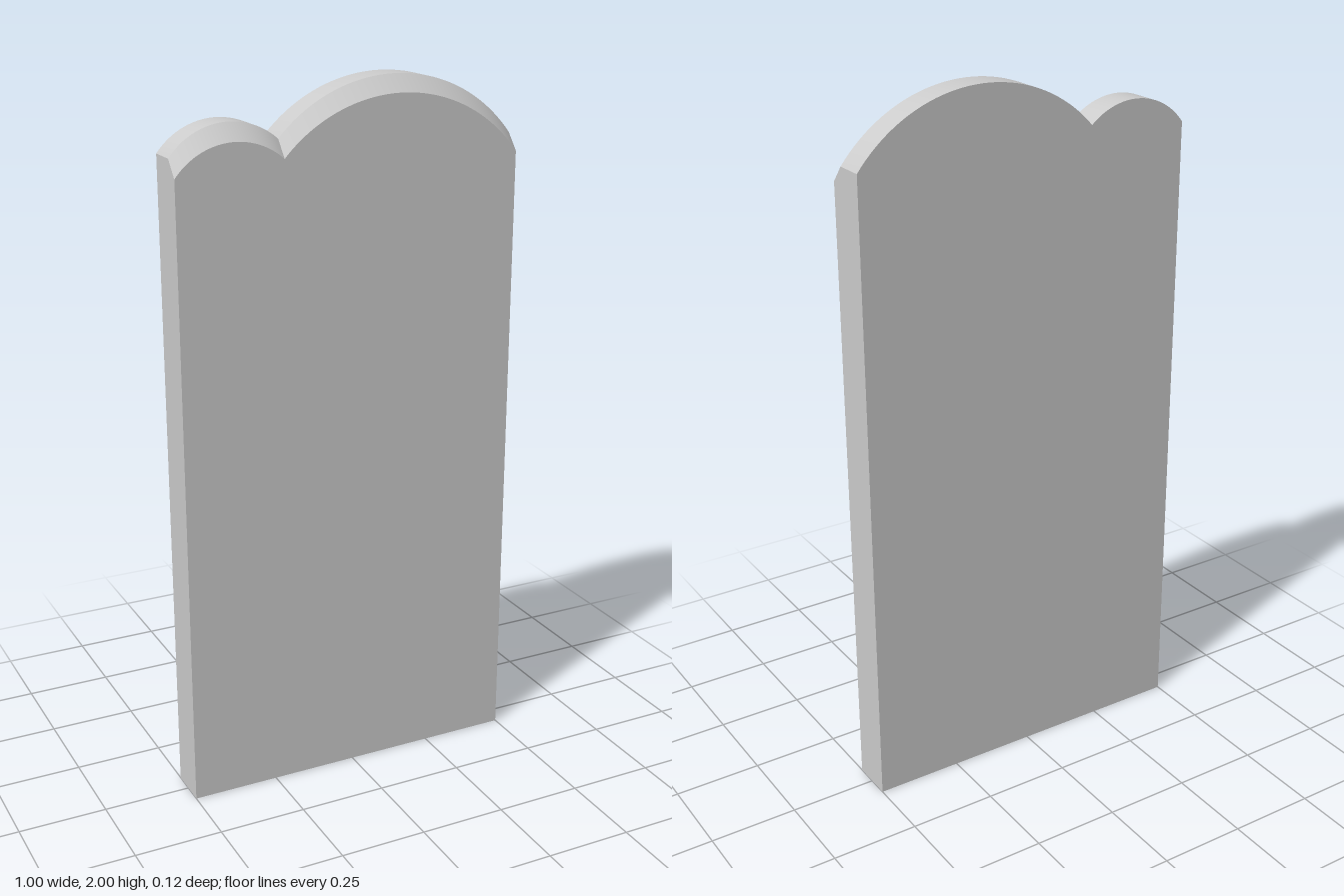
import * as THREE from 'three';
import { toCreasedNormals } from 'three/addons/utils/BufferGeometryUtils.js';

const HALF_DEPTH = 0.0625;
const BEVEL_Z = 0.023; // where the top edge starts to slope forward
const BEVEL_DROP = 0.046; // how far the front edge sits below the crown

// Points along a circular arc of given crown, from x0 to x1
function arcPoints(cx, crown, r, x0, x1, n) {
  const cy = crown - r;
  const a0 = Math.acos((x0 - cx) / r);
  const a1 = Math.acos((x1 - cx) / r);
  return Array.from({ length: n + 1 }, (_, i) => {
    const a = a0 + ((a1 - a0) * i) / n;
    return new THREE.Vector2(cx + r * Math.cos(a), cy + r * Math.sin(a));
  });
}

export function createModel() {
  const group = new THREE.Group();
  group.name = 'headstone';

  // Slab outline: straight sides, a small lobe and a large lobe on top
  const outline = new THREE.Shape([
    new THREE.Vector2(0.5, 0),
    new THREE.Vector2(-0.5, 0),
    ...arcPoints(-0.336, 1.905, 0.206, -0.5, -0.198, 24),
    ...arcPoints(0.138, 2.0, 0.4565, -0.198, 0.5, 40).slice(1),
  ].reverse());

  const slab = new THREE.ExtrudeGeometry(outline, { depth: 2 * HALF_DEPTH, steps: 2, bevelEnabled: false });
  slab.translate(0, 0, -HALF_DEPTH);

  // Move the middle ring to the bevel line and lower the front top edge
  const pos = slab.attributes.position;
  for (let i = 0; i < pos.count; i++) {
    const z = pos.getZ(i);
    if (Math.abs(z) < 0.01) pos.setZ(i, BEVEL_Z);
    else if (z > 0 && pos.getY(i) > 1) pos.setY(i, pos.getY(i) - BEVEL_DROP);
  }

  const mesh = new THREE.Mesh(
    toCreasedNormals(slab, Math.PI / 7),
    new THREE.MeshStandardMaterial({ color: 0xcccccc })
  );
  mesh.name = 'slab';
  group.add(mesh);
  return group;
}
